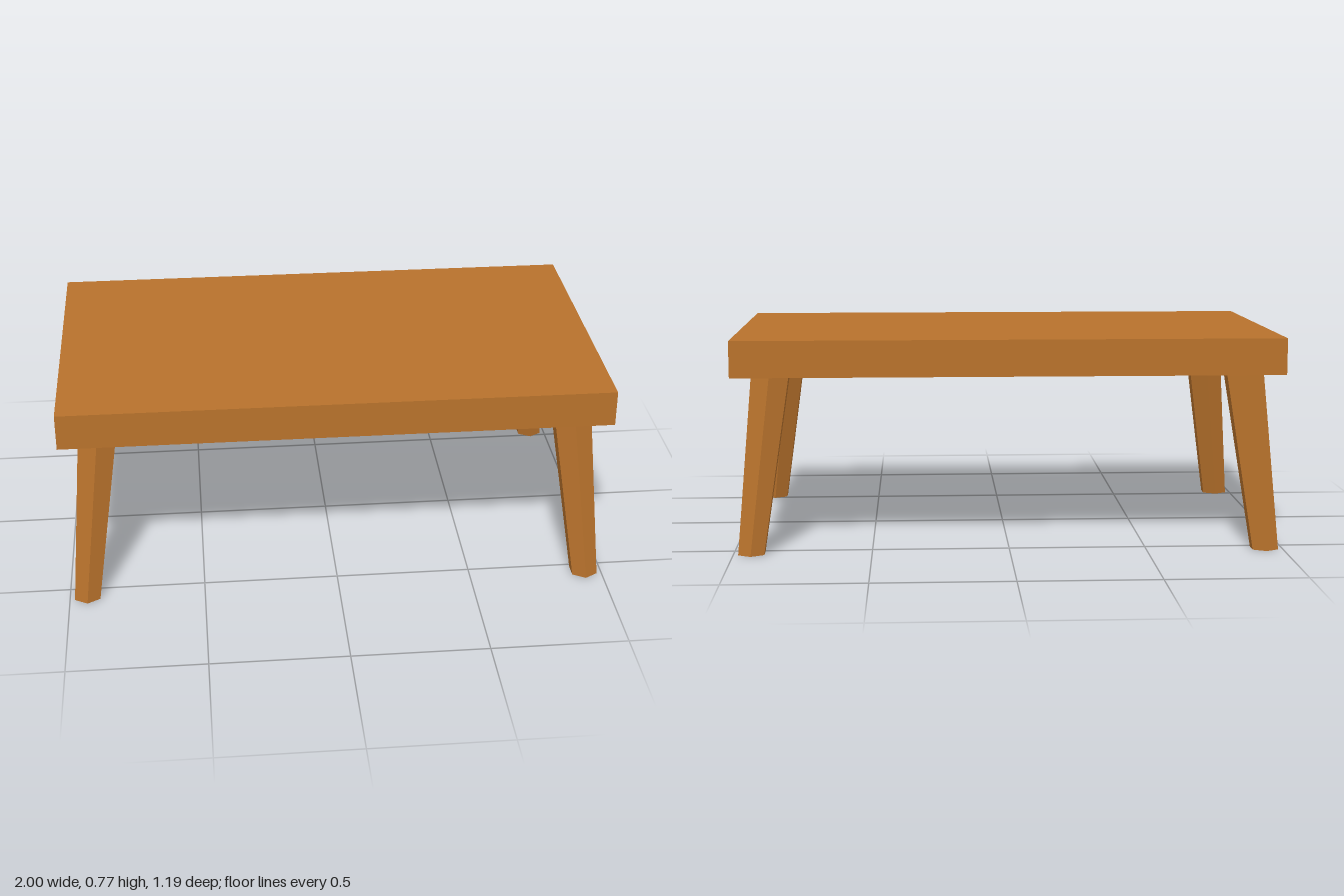
import * as THREE from 'three';

const TOP_Y = 0.775, UNDER_Y = 0.642;

// Tapered six-sided leg, sheared so it splays outwards with level ends
function legGeometry(sx, sz) {
  const foot = { x: 0.935, z: 0.542, r: 0.054 };
  const head = { x: 0.862, z: 0.456, r: 0.078 };
  const geo = new THREE.CylinderGeometry(head.r, foot.r, UNDER_Y, 6);
  geo.translate(0, UNDER_Y / 2, 0);
  const p = geo.attributes.position;
  for (let i = 0; i < p.count; i++) {
    const t = p.getY(i) / UNDER_Y;
    p.setX(i, p.getX(i) + sx * THREE.MathUtils.lerp(foot.x, head.x, t));
    p.setZ(i, p.getZ(i) + sz * THREE.MathUtils.lerp(foot.z, head.z, t));
  }
  geo.computeVertexNormals();
  return geo;
}

export function createModel() {
  const group = new THREE.Group();
  group.name = 'table';
  const wood = new THREE.MeshStandardMaterial({ color: 0xb8722c, flatShading: true });

  // Thick rectangular slab
  const top = new THREE.Mesh(new THREE.BoxGeometry(2, TOP_Y - UNDER_Y, 1.13), wood);
  top.name = 'tableTop';
  top.position.y = (TOP_Y + UNDER_Y) / 2;
  group.add(top);

  // One leg per corner
  for (const [sz, end] of [[1, 'front'], [-1, 'back']]) {
    for (const [sx, side] of [[1, 'Left'], [-1, 'Right']]) {
      const leg = new THREE.Mesh(legGeometry(sx, sz), wood);
      leg.name = `${end}${side}Leg`;
      group.add(leg);
    }
  }
  return group;
}
